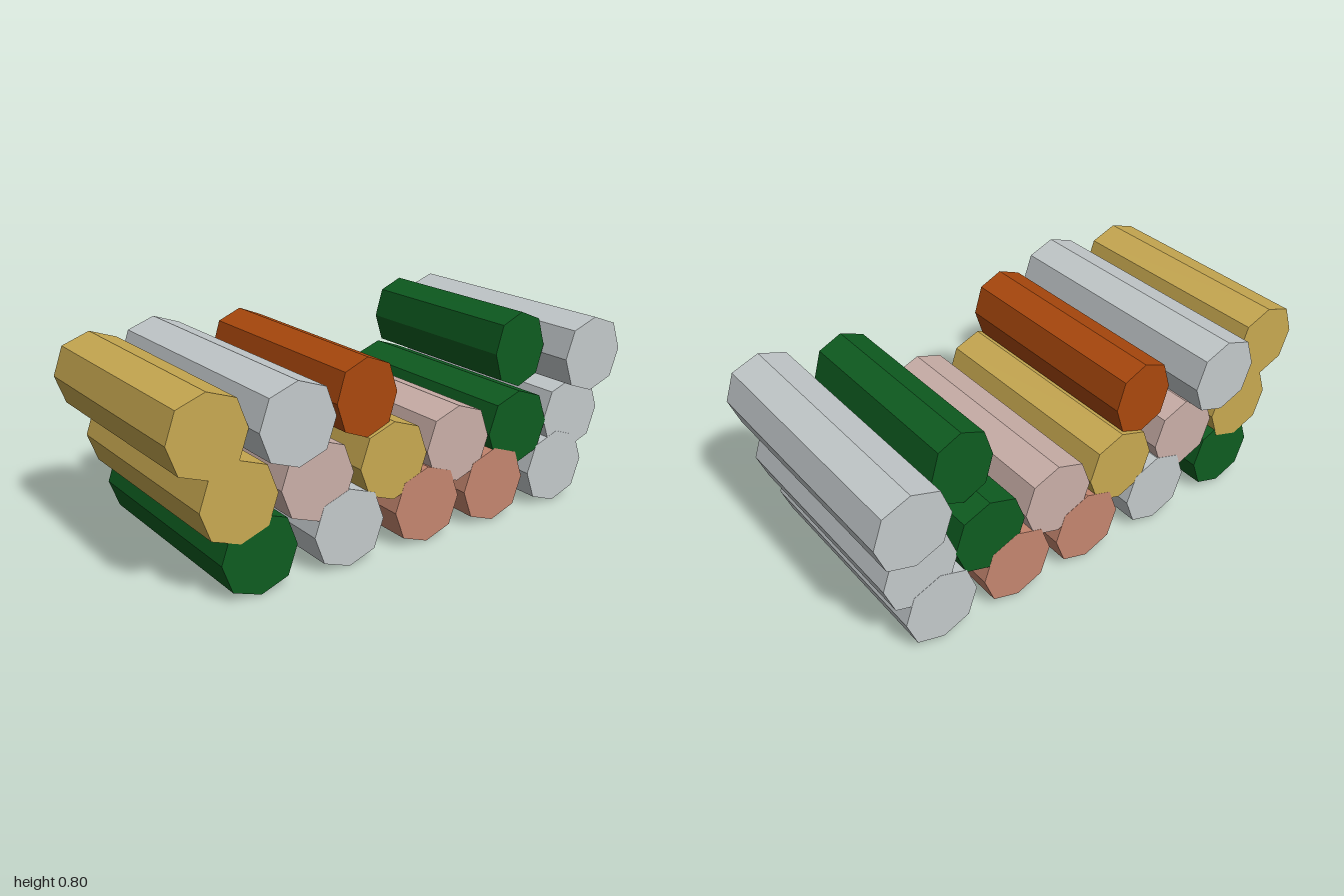
import * as THREE from 'three';

const paint = (name, hex) => {
  const m = new THREE.MeshStandardMaterial({ color: hex });
  m.name = name;
  return m;
};

// Eight-sided log lying along z, with its cross-section centred on the axis
function logGeometry(rx, ry, length) {
  const k = 0.735; // diagonal corners
  const corners = [[1, 0], [k, k], [0, 1], [-k, k], [-1, 0], [-k, -k], [0, -1], [k, -k]];
  const shape = new THREE.Shape(corners.map(([x, y]) => new THREE.Vector2(x * rx, y * ry)));
  const g = new THREE.ExtrudeGeometry(shape, { depth: length, bevelEnabled: false });
  g.translate(0, 0, -length / 2);
  return g;
}

export function createModel() {
  const group = new THREE.Group();
  group.name = 'logStack';

  const green = paint('green', 0x0e5c20);
  const silver = paint('silver', 0xc3c9cb);
  const salmon = paint('salmon', 0xc5866f);
  const gold = paint('gold', 0xc8a951);
  const pink = paint('pink', 0xcaafa8);
  const orange = paint('orange', 0xaa480d);

  // Each log: x, y, material, length, half width, half height.
  // Tiny length differences keep overlapping ends from sharing a plane.
  const rows = {
    bottomLog: [
      [-0.668, 0.152, green, 0.898],
      [-0.297, 0.152, silver, 0.902],
      [0.06, 0.152, salmon, 0.902],
      [0.393, 0.152, salmon, 0.902],
      [0.728, 0.152, silver, 0.902],
    ],
    middleLog: [
      [-0.742, 0.363, gold, 0.9],
      [-0.43, 0.363, pink, 0.9],
      [-0.1, 0.363, gold, 0.901],
      [0.204, 0.363, pink, 0.9],
      [0.51, 0.363, green, 0.901],
      [0.802, 0.363, silver, 0.9],
    ],
    topLog: [
      [-0.85, 0.617, gold, 0.903],
      [-0.552, 0.617, silver, 1.04],
      [-0.21, 0.62, orange, 0.87, 0.13, 0.148],
      [0.57, 0.653, green, 0.765, 0.127, 0.15],
      [0.85, 0.617, silver, 1.008],
    ],
  };

  for (const [name, logs] of Object.entries(rows)) {
    logs.forEach(([x, y, material, length, rx = 0.15, ry = 0.15], i) => {
      const log = new THREE.Mesh(logGeometry(rx, ry, length), material);
      log.name = name + (i + 1);
      log.position.set(x, y, 0);
      group.add(log);
    });
  }
  return group;
}
